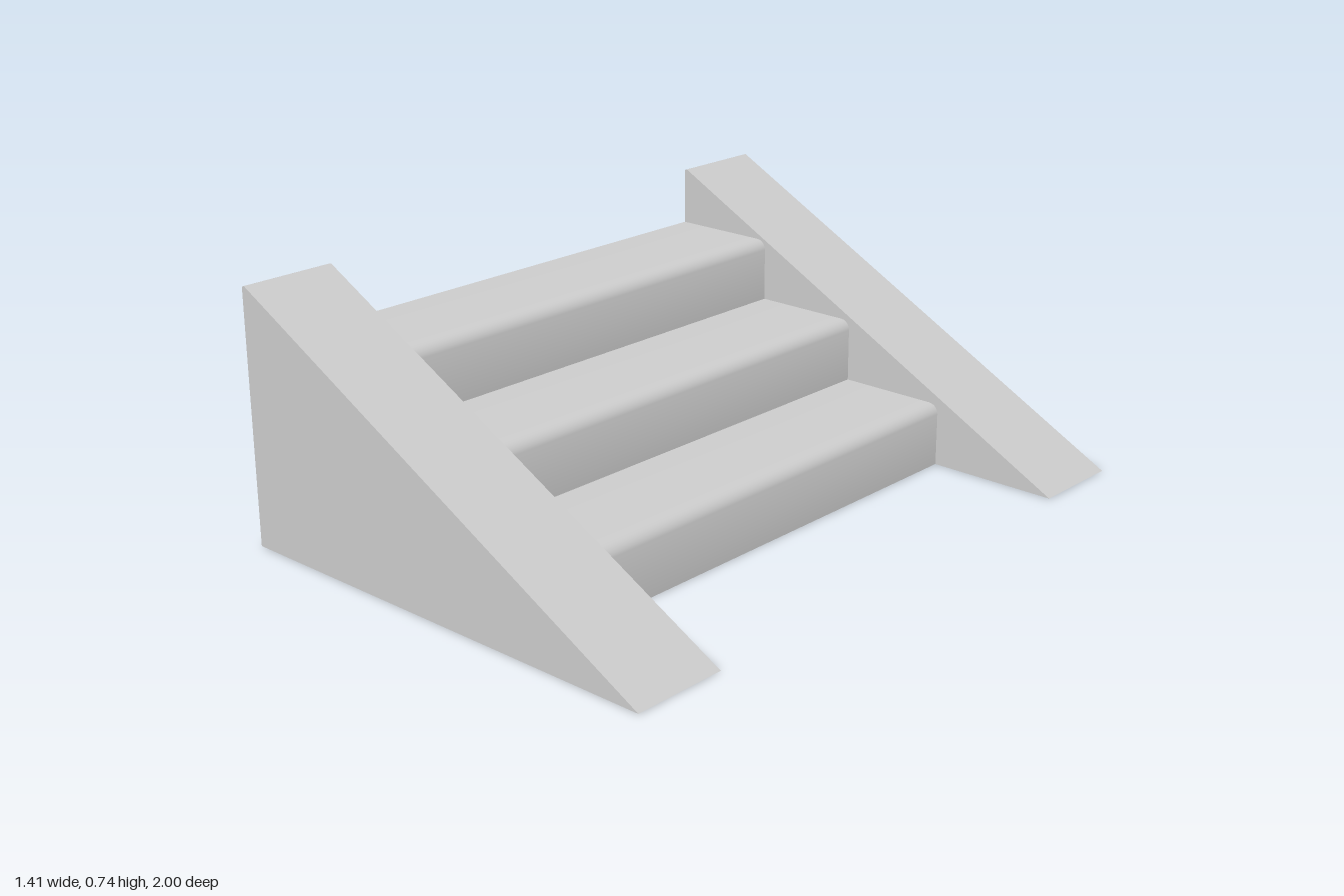
import * as THREE from 'three';

const HALF_X = 0.706, HALF_Z = 1, INNER_Z = 0.714;
const material = new THREE.MeshStandardMaterial({ color: 0xcccccc, side: THREE.DoubleSide });

function addMesh(parent, geometry, name) {
  const mesh = new THREE.Mesh(geometry, material);
  mesh.name = name;
  parent.add(mesh);
  return mesh;
}

// Sweep an x-y profile from z0 to z1; points run so that outward is to their left.
// With angles (tilt from up towards +x) normals are smooth, otherwise flat per strip.
function sweep(points, z0, z1, angles) {
  const pos = [], nor = [];
  for (let i = 0; i < points.length - 1; i++) {
    const [ax, ay] = points[i], [bx, by] = points[i + 1];
    pos.push(ax, ay, z0, ax, ay, z1, bx, by, z1, ax, ay, z0, bx, by, z1, bx, by, z0);
    if (angles) {
      for (const k of [i, i, i + 1, i, i + 1, i + 1]) {
        nor.push(Math.sin(angles[k]), Math.cos(angles[k]), 0);
      }
    }
  }
  const geometry = new THREE.BufferGeometry();
  geometry.setAttribute('position', new THREE.Float32BufferAttribute(pos, 3));
  if (angles) geometry.setAttribute('normal', new THREE.Float32BufferAttribute(nor, 3));
  else geometry.computeVertexNormals();
  return geometry;
}

// Hollow wedge wall, open underneath, with a slightly blunted peak
function createSideWall(name) {
  const wall = new THREE.Group();
  wall.name = name;
  const profile = [[-HALF_X, 0], [-HALF_X, 0.732], [-0.704, 0.738], [-0.697, 0.74], [HALF_X, 0]];
  const triangle = new THREE.Shape(profile.map(([x, y]) => new THREE.Vector2(x, y)));
  addMesh(wall, new THREE.ShapeGeometry(triangle), 'outerFace').position.z = HALF_Z;
  addMesh(wall, new THREE.ShapeGeometry(triangle), 'innerFace').position.z = INNER_Z;
  addMesh(wall, sweep(profile, INNER_Z, HALF_Z), 'slopeAndBack');
  return wall;
}

// One tread and riser joined by a rounded nose
function createStep(back, front, bottom, top) {
  const r = 0.03, segments = 5;
  const points = [[back, top]], angles = [0];
  for (let i = 0; i <= segments; i++) {
    const t = i / segments, a = t * Math.PI / 2;
    points.push([front - r + r * Math.sin(a), top - r + r * Math.cos(a)]);
    angles.push(THREE.MathUtils.lerp(0.2, Math.PI / 2 - 0.2, t));
  }
  points.push([front, bottom]);
  angles.push(Math.PI / 2);
  return sweep(points, -INNER_Z, INNER_Z, angles);
}

export function createModel() {
  const model = new THREE.Group();
  model.name = 'steps';

  // Mirrored side walls
  model.add(createSideWall('frontWall'));
  const backWall = createSideWall('rearWall');
  backWall.scale.z = -1;
  model.add(backWall);

  // Three steps climbing towards -x
  const edges = [0.305, -0.033, -0.37, -HALF_X];
  const rise = 0.189;
  for (let i = 0; i < 3; i++) {
    addMesh(model, createStep(edges[i + 1], edges[i], i * rise, (i + 1) * rise), `step${i + 1}`);
  }

  // Upright panel closing the tall side
  addMesh(model, sweep([[-HALF_X, 0], [-HALF_X, 3 * rise]], -INNER_Z, INNER_Z), 'backPanel');
  return model;
}
